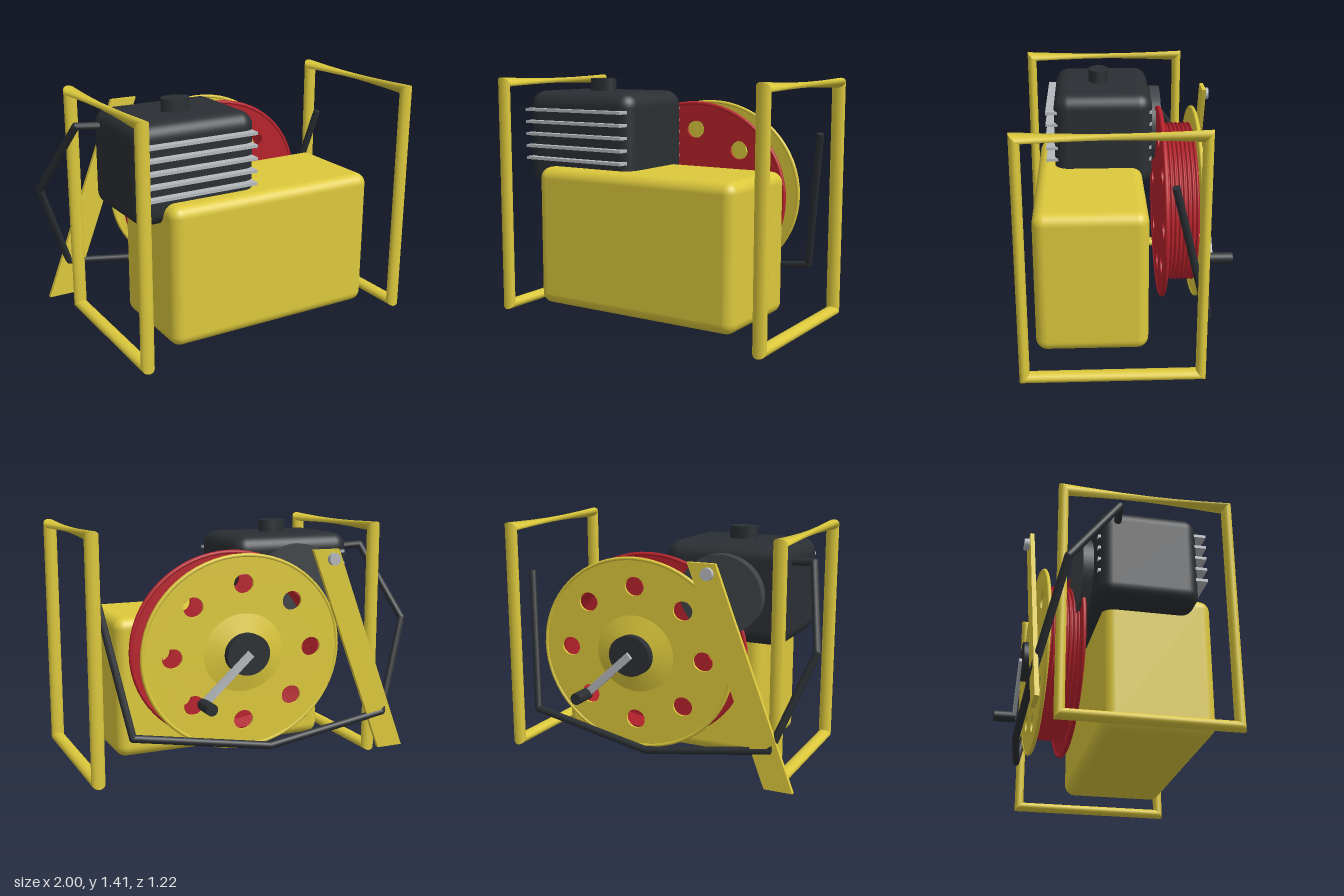
import * as THREE from 'three';
import { RoundedBoxGeometry } from 'three/addons/geometries/RoundedBoxGeometry.js';

const mat = (color, side = THREE.FrontSide) => new THREE.MeshStandardMaterial({ color, side });
const yellow = mat(0xdcc83c), yellowThin = mat(0xdcc83c, THREE.DoubleSide);
const black = mat(0x2b2f33), darkGrey = mat(0x404448), steel = mat(0xb4b8bc);
const red = mat(0xb8222c), redThin = mat(0xb8222c, THREE.DoubleSide);

function add(parent, name, geometry, material, x = 0, y = 0, z = 0) {
  const mesh = new THREE.Mesh(geometry, material);
  mesh.name = name;
  mesh.position.set(x, y, z);
  parent.add(mesh);
  return mesh;
}

// Cylinder whose axis runs along z
const discZ = (rFront, rBack, depth, sides = 40) =>
  new THREE.CylinderGeometry(rFront, rBack, depth, sides).rotateX(Math.PI / 2);

// Bar lofted between two mitred rings, optionally twisted by some ring steps
function bar(from, to, twist) {
  const sides = 16, r = 0.04, pos = [], index = [];
  [from, to].forEach((corner, end) => {
    for (let i = 0; i < sides; i++) {
      const a = ((i + end * twist) / sides) * Math.PI * 2;
      const d = r * Math.sin(a) * Math.SQRT1_2;
      pos.push(r * Math.cos(a), corner.y + d * corner.sy, corner.z + d * corner.sz);
    }
  });
  for (let i = 0; i < sides; i++) {
    const j = (i + 1) % sides;
    index.push(i, j, i + sides, j, j + sides, i + sides);
  }
  const g = new THREE.BufferGeometry();
  g.setAttribute('position', new THREE.Float32BufferAttribute(pos, 3));
  g.setIndex(index);
  g.computeVertexNormals();
  return g;
}

// Rectangular side frame with a twisted top bar
function sideFrame(name, x) {
  const frame = new THREE.Group();
  frame.name = name;
  frame.position.x = x;
  const corners = [
    { y: 0.035, z: 0.58, sy: -1, sz: 1 },
    { y: 1.385, z: 0.58, sy: 1, sz: 1 },
    { y: 1.385, z: -0.37, sy: 1, sz: -1 },
    { y: 0.035, z: -0.37, sy: -1, sz: -1 },
  ];
  const names = ['frontPost', 'topBar', 'rearPost', 'bottomBar'];
  corners.forEach((c, i) =>
    add(frame, names[i], bar(c, corners[(i + 1) % 4], i === 1 ? 6 : 0), yellowThin));
  return frame;
}

// Reel flange with a ring of eight holes
function flange(depth) {
  const shape = new THREE.Shape().absarc(0, 0, 0.605, 0, Math.PI * 2);
  for (let i = 0; i < 8; i++) {
    const a = (i * Math.PI) / 4;
    shape.holes.push(new THREE.Path().absarc(0.43 * Math.cos(a), 0.43 * Math.sin(a), 0.06, 0, Math.PI * 2, true));
  }
  return new THREE.ExtrudeGeometry(shape, { depth, bevelEnabled: false, curveSegments: 32 })
    .translate(0, 0, -depth / 2);
}

function hoseReel() {
  const reel = new THREE.Group();
  reel.name = 'reel';
  reel.position.set(0.1, 0.7, 0);
  reel.scale.y = 0.915;
  add(reel, 'frontFlange', flange(0.014), red, 0, 0, -0.2);
  add(reel, 'frontRim', new THREE.TorusGeometry(0.603, 0.013, 10, 64), red, 0, 0, -0.2);
  add(reel, 'rearFlange', flange(0.014), yellow, 0, 0, -0.397);
  add(reel, 'rearRim', new THREE.TorusGeometry(0.603, 0.012, 10, 64), yellow, 0, 0, -0.397);
  // Wound hose as a ribbed drum
  const profile = [];
  const coils = 8, steps = 6;
  for (let i = 0; i <= coils * steps; i++) {
    const t = i / (coils * steps);
    profile.push(new THREE.Vector2(0.482 + 0.027 * Math.abs(Math.sin(t * coils * Math.PI)), 0.2 + t * 0.19));
  }
  add(reel, 'woundHose', new THREE.LatheGeometry(profile, 64).rotateX(-Math.PI / 2), redThin);
  add(reel, 'hubCone', discZ(0.25, 0.12, 0.03), yellow, 0, 0, -0.418);
  add(reel, 'hub', discZ(0.13, 0.13, 0.055), black, 0, 0, -0.45);
  return reel;
}

// Straight hose pieces joined by round elbows
function hose(points, r) {
  const group = new THREE.Group();
  group.name = 'bentHose';
  const p = points.map((q) => new THREE.Vector3(...q));
  for (let i = 0; i < p.length - 1; i++) {
    const line = new THREE.LineCurve3(p[i], p[i + 1]);
    add(group, 'hoseSegment', new THREE.TubeGeometry(line, 1, r, 10), black);
    if (i > 0) add(group, 'elbow', new THREE.SphereGeometry(r, 10, 8), black, ...points[i]);
  }
  for (const [end, next] of [[p[0], p[1]], [p[p.length - 1], p[p.length - 2]]]) {
    const cap = add(group, 'hoseEnd', new THREE.CircleGeometry(r, 10), black, end.x, end.y, end.z);
    cap.lookAt(end.clone().multiplyScalar(2).sub(next));
  }
  return group;
}

export function createModel() {
  const model = new THREE.Group();
  model.name = 'motorReel';

  // Side frames
  model.add(sideFrame('rightFrame', -0.757), sideFrame('leftFrame', 0.957));

  // Tank and engine
  add(model, 'tank', new RoundedBoxGeometry(1.325, 0.825, 0.63, 5, 0.065), yellow, 0.1, 0.473, 0.213);
  add(model, 'engine', new RoundedBoxGeometry(0.755, 0.57, 0.585, 5, 0.085), black, -0.343, 1.045, 0.128);
  const cap = add(model, 'fillerCap', new THREE.CylinderGeometry(0.086, 0.086, 0.08, 32), black, -0.343, 1.363, 0.152);
  cap.scale.z = 0.7;
  for (let i = 0; i < 5; i++)
    add(model, 'coolingFin', new THREE.BoxGeometry(0.695, 0.017, 0.63), steel, -0.343, 0.93 + i * 0.0725, 0.155);
  const starter = add(model, 'starterCover', discZ(0.252, 0.252, 0.06), darkGrey, -0.35, 1.05, -0.195);
  starter.scale.y = 0.915;

  // Reel and its crank
  model.add(hoseReel());
  const crank = add(model, 'crankArm', new THREE.BoxGeometry(0.4, 0.045, 0.022), steel, 0.24, 0.573, -0.484);
  crank.rotation.z = Math.atan2(-0.255, 0.28);
  add(model, 'crankHandle', discZ(0.034, 0.034, 0.135, 20), black, 0.38, 0.445, -0.543);

  // Slanted plank with bolt
  const plank = new THREE.Shape([[-0.91, 0.06], [-0.745, 0.06], [-0.28, 1.275], [-0.445, 1.275]]
    .map(([x, y]) => new THREE.Vector2(x, y)));
  add(model, 'slantedPlank', new THREE.ExtrudeGeometry(plank, { depth: 0.024, bevelEnabled: false }), yellow, 0, 0, -0.514);
  add(model, 'plankBolt', discZ(0.035, 0.035, 0.035, 20), steel, -0.405, 1.22, -0.525);

  // Hose running from the engine around the back
  model.add(hose([
    [-0.7, 1.24, -0.05], [-0.85, 1.25, -0.07], [-0.977, 0.82, -0.37], [-0.77, 0.28, -0.5],
    [-0.02, 0.165, -0.507], [0.77, 0.28, -0.42], [0.915, 1.1, -0.22],
  ], 0.022));
  return model;
}
